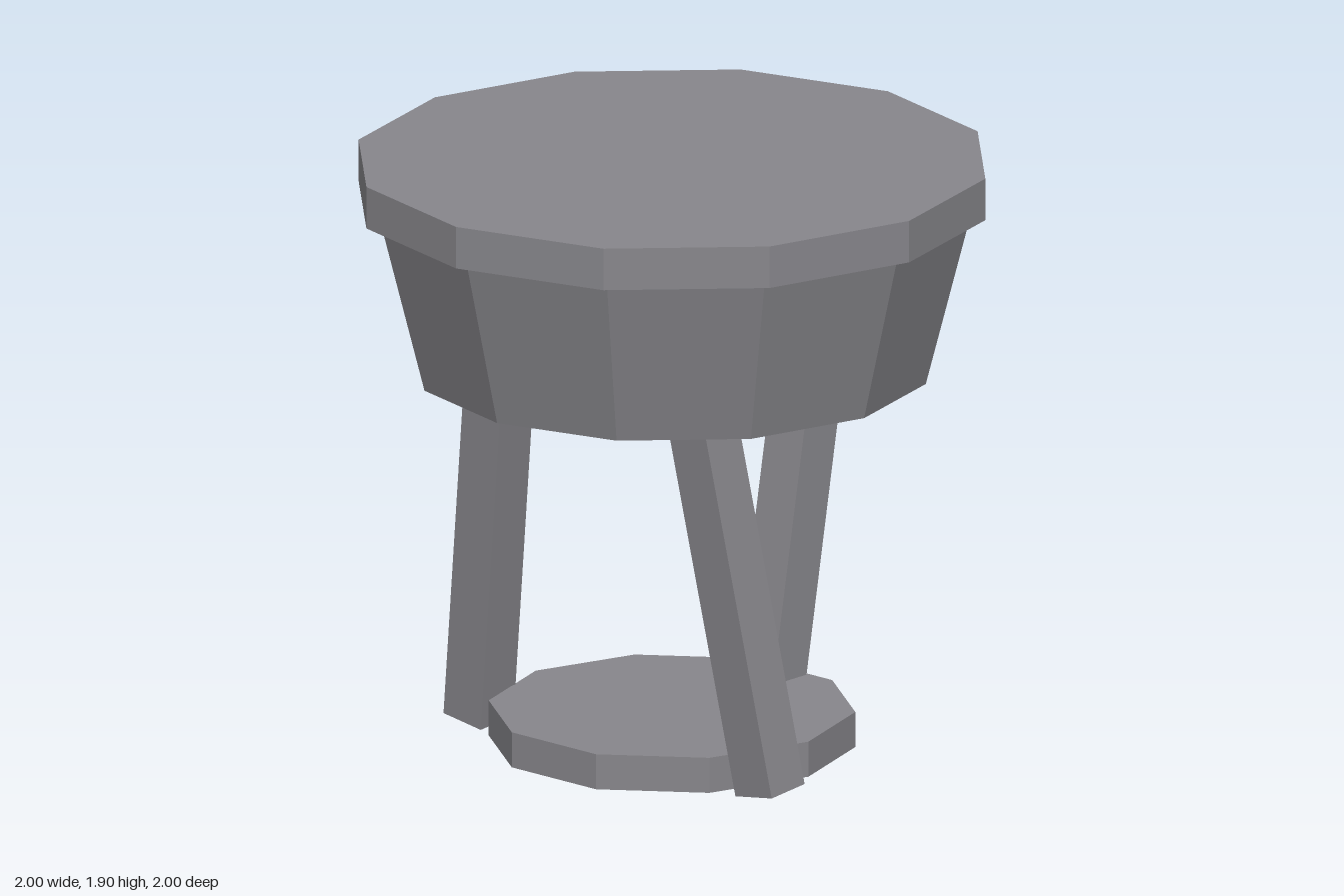
import * as THREE from 'three';

const material = new THREE.MeshStandardMaterial({ color: 0x87868b, flatShading: true });

function addMesh(parent, name, geometry, x, y, z) {
  const mesh = new THREE.Mesh(geometry, material);
  mesh.name = name;
  mesh.position.set(x, y, z);
  parent.add(mesh);
  return mesh;
}

// Faceted disc or tapered drum spanning y0..y1
function addDrum(parent, name, rTop, rBottom, y0, y1, sides) {
  const geometry = new THREE.CylinderGeometry(rTop, rBottom, y1 - y0, sides);
  return addMesh(parent, name, geometry, 0, (y0 + y1) / 2, 0);
}

export function createModel() {
  const model = new THREE.Group();
  model.name = 'stool';

  // Seat slab over a tapered drum, and a low foot disc
  addDrum(model, 'seatTop', 1, 1, 1.765, 1.9, 12);
  addDrum(model, 'seatDrum', 0.95, 0.81, 1.22, 1.765, 12);
  addDrum(model, 'footDisc', 0.575, 0.575, 0.006, 0.12, 10);

  // Three square legs, each with its own lean, running up into the drum
  const legGeometry = new THREE.BoxGeometry(0.153, 1.5, 0.157);
  const radius = 0.575, tilt = 0.18;
  for (let i = 0; i < 3; i++) {
    const a = (i * Math.PI * 2) / 3;
    const c = Math.cos(a), s = Math.sin(a);
    const leg = addMesh(model, 'leg' + (i + 1), legGeometry, radius * c, 0.757, radius * s);
    leg.rotation.set(-s * tilt, 0, -c * tilt, 'ZYX');
  }

  return model;
}
